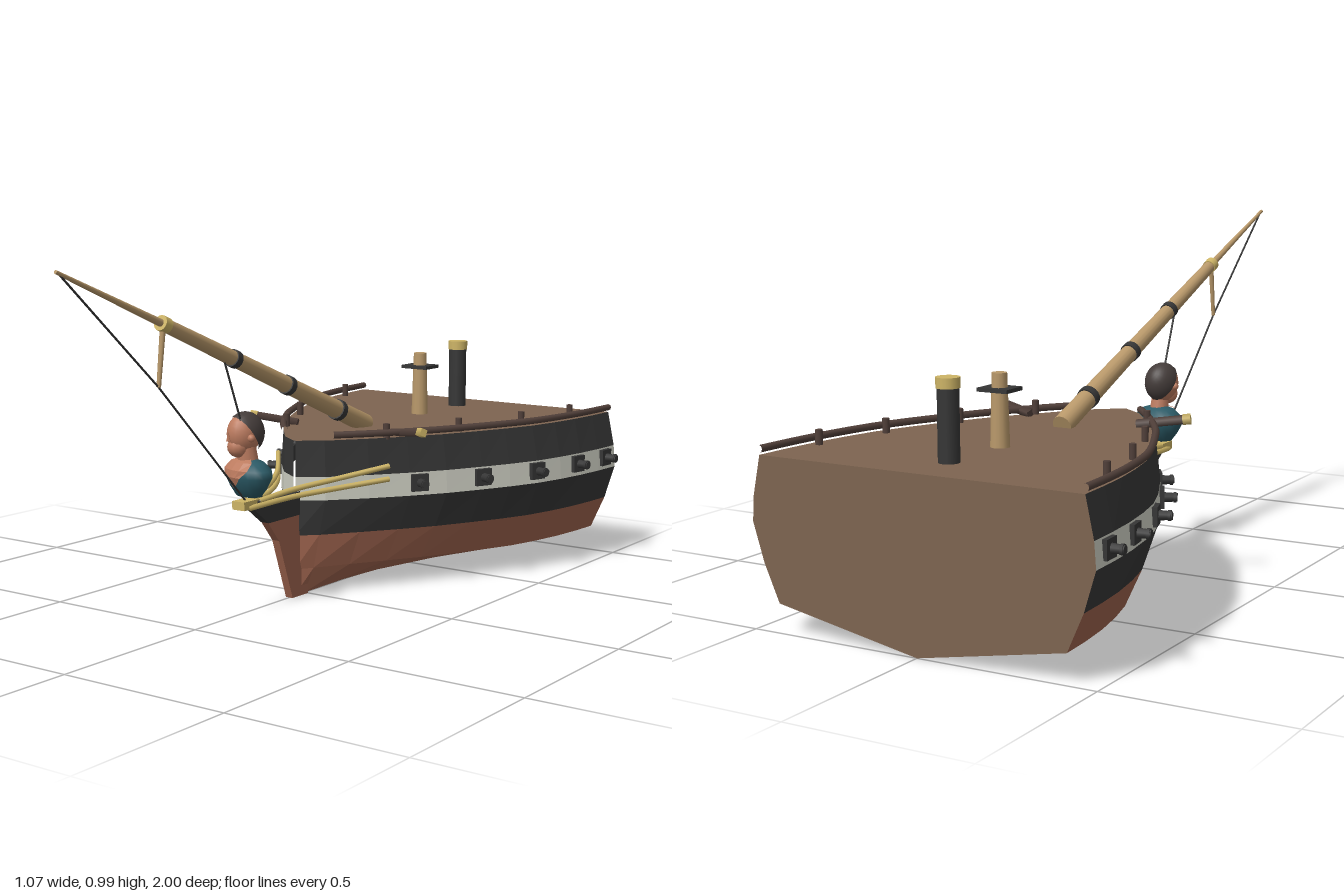
import * as THREE from 'three';

const mat = (name, color) => Object.assign(new THREE.MeshStandardMaterial({ color }), { name });
const V = (x, y, z) => new THREE.Vector3(x, y, z);

// Plan half-width of the hull, bow to stern: [z, half width]
const STATIONS = [[0.05, 0.004], [0, 0.075], [-0.1, 0.16], [-0.2, 0.235], [-0.3, 0.3], [-0.41, 0.357],
  [-0.5, 0.4], [-0.6, 0.44], [-0.7, 0.465], [-0.8, 0.483], [-0.9, 0.494], [-1, 0.5]];
// Cross-section levels: [y, width factor, bow sharpness]
const LEVELS = [[0, 0, 1], [0.078, 0.84, 1.35], [0.178, 0.93, 1.15], [0.282, 0.995, 1], [0.35, 0.985, 1], [0.455, 0.94, 1]];

function halfWidth(z) {
  const i = Math.max(1, STATIONS.findIndex(s => s[0] <= z));
  const [z0, w0] = STATIONS[i - 1], [z1, w1] = STATIONS[i];
  return w0 + (w1 - w0) * (z - z0) / (z1 - z0);
}
const hullPoint = ([y, f, p], z, side = 1) => V(side * 0.5 * f * Math.pow(2 * halfWidth(z), p), y, z);

// Faceted surface through rows of points
function grid(rows) {
  const pts = [];
  for (let i = 0; i < rows.length - 1; i++) {
    for (let j = 0; j < rows[i].length - 1; j++) {
      const a = rows[i][j], b = rows[i][j + 1], c = rows[i + 1][j + 1], d = rows[i + 1][j];
      pts.push(a, b, c, a, c, d);
    }
  }
  const g = new THREE.BufferGeometry().setFromPoints(pts);
  g.computeVertexNormals();
  return g;
}

// Upright plate on the centreline from a [z, y] outline
function plate(outline, width) {
  const shape = new THREE.Shape(outline.map(([z, y]) => new THREE.Vector2(z, y)));
  return new THREE.ExtrudeGeometry(shape, { depth: width, bevelEnabled: false })
    .rotateY(-Math.PI / 2).translate(width / 2, 0, 0);
}

// Tapered rod between two points
function rod(a, b, r0, r1 = r0, sides = 12) {
  const dir = b.clone().sub(a);
  const g = new THREE.CylinderGeometry(r1, r0, dir.length(), sides);
  g.applyQuaternion(new THREE.Quaternion().setFromUnitVectors(V(0, 1, 0), dir.normalize()));
  const mid = a.clone().add(b).multiplyScalar(0.5);
  return g.translate(mid.x, mid.y, mid.z);
}

export function createModel() {
  const black = mat('blackPaint', 0x363636), copper = mat('copper', 0xa0654f), white = mat('whiteBand', 0xcfd0c4);
  const deckWood = mat('deckWood', 0x7d6450), spar = mat('sparWood', 0xb8986a), darkWood = mat('darkWood', 0x51403a);
  const gold = mat('gold', 0xcdb466), teal = mat('tealCloth', 0x2b5a66), skin = mat('skin', 0xbd7c60);
  const hair = mat('hair', 0x443c3a);
  const model = new THREE.Group();
  const add = (name, geometry, material, parent = model) => {
    const m = new THREE.Mesh(geometry, material);
    m.name = name;
    parent.add(m);
    return m;
  };

  // Hull bands, both sides
  const zs = STATIONS.map(s => s[0]);
  const bands = [['bottom', copper], ['copperSide', copper], ['lowerWale', black], ['gunBand', white], ['upperSide', black]];
  bands.forEach(([name, m], i) => {
    for (const side of [1, -1]) {
      const rows = [LEVELS[i], LEVELS[i + 1]].map(l => {
        const row = zs.map(z => hullPoint(l, z, side));
        return side > 0 ? row : row.reverse();
      });
      add(name, grid(rows), m);
    }
  });
  const top = LEVELS[5];
  add('deck', grid([zs.map(z => hullPoint(top, z)), zs.map(z => hullPoint(top, z, -1))]), deckWood);
  add('transom', grid([LEVELS.map(l => hullPoint(l, -1, -1)), LEVELS.map(l => hullPoint(l, -1))]), deckWood);

  // Stem and knee of the head
  add('stem', plate([[0, 0], [0.075, 0], [0.14, 0.18], [0.19, 0.24], [0, 0.24]], 0.024), copper);
  add('headKnee', plate([[0, 0.24], [0.19, 0.24], [0.27, 0.3], [0.26, 0.31], [0.17, 0.3], [0.02, 0.31]], 0.028), black);
  add('billet', new THREE.BoxGeometry(0.042, 0.024, 0.06).translate(0, 0.307, 0.28), gold);

  for (const s of [1, -1]) {
    // Guns in their ports
    for (const z of [-0.225, -0.41, -0.595, -0.78, -0.935]) {
      const gun = new THREE.Group();
      gun.name = 'gun';
      gun.position.set(s * halfWidth(z) * 0.99, 0.32, z);
      const slope = (halfWidth(z - 0.03) - halfWidth(z + 0.03)) / 0.06;
      gun.rotation.y = s * (Math.PI / 2 - Math.atan(slope));
      add('portLid', new THREE.BoxGeometry(0.052, 0.05, 0.022), black, gun);
      add('barrel', rod(V(0, 0, 0), V(0, 0, 0.045), 0.014, 0.011, 10), black, gun);
      add('muzzle', rod(V(0, 0, 0.034), V(0, 0, 0.042), 0.014, 0.014, 10), black, gun);
      model.add(gun);
    }

    // Bulwark rail and its posts
    const railPts = [-0.02, ...zs.slice(2)].map(z => hullPoint(top, z, s).setY(0.47));
    add('rail', new THREE.TubeGeometry(new THREE.CatmullRomCurve3(railPts), 40, 0.01, 8), darkWood);
    for (const [x, z] of [[0.18, -0.155], [0.29, -0.375], [0.375, -0.6], [0.425, -0.82]])
      add('railPost', rod(V(s * x, 0.45, z), V(s * x, 0.495, z), 0.01, 0.01, 8), darkWood);

    // Cathead
    const inner = V(s * 0.17, 0.463, -0.2), outer = V(s * 0.3, 0.48, -0.152);
    add('cathead', rod(inner, outer, 0.013, 0.013, 4), darkWood);
    add('catheadCap', rod(outer.clone().lerp(inner, 0.08), outer.clone().lerp(inner, -0.08), 0.015, 0.015, 4), gold);

    // Head rails sweeping from the bow to the figurehead
    for (const [y0, y1, y2, zEnd] of [[0.375, 0.345, 0.312, 0.24], [0.337, 0.318, 0.298, 0.29]]) {
      const path = new THREE.CatmullRomCurve3([V(s * 0.2, y0, -0.14), V(s * 0.1, y1, 0), V(s * 0.045, (y1 + y2) / 2, 0.12), V(s * 0.018, y2, zEnd)]);
      add('headRail', new THREE.TubeGeometry(path, 20, 0.008, 6), gold);
    }
  }

  // Bowsprit and jib boom
  const on = (z, dy = 0) => V(0, 0.465 + 0.4 * (z + 0.3) + dy, z);
  add('bowsprit', rod(on(-0.31), on(0.62), 0.029, 0.018, 16), spar);
  add('jibBoom', rod(on(0.6), on(1).setY(0.983), 0.011, 0.005), spar);
  add('bowspritCap', rod(on(0.6), on(0.625), 0.021, 0.021, 16), gold);
  for (const [z, r] of [[-0.165, 0.031], [0.083, 0.028], [0.325, 0.025]])
    add('bowspritBand', rod(on(z - 0.01), on(z + 0.01), r, r, 16), black);
  const strikerTip = V(0, 0.67, 0.635);
  add('dolphinStriker', rod(on(0.615), strikerTip, 0.008, 0.006, 8), spar);
  add('martingaleStay', rod(on(0.995), strikerTip, 0.003, 0.003, 5), black);
  add('martingaleBackstay', rod(strikerTip, V(0, 0.31, 0.27), 0.003, 0.003, 5), black);
  add('bobstay', rod(on(0.375), V(0, 0.28, 0.19), 0.003, 0.003, 5), black);

  // Figurehead bust, turned slightly to its right
  const bust = new THREE.Group();
  bust.name = 'figurehead';
  bust.position.set(0, 0, 0.262);
  bust.rotation.y = -0.3;
  const profile = [[0, 0.325], [0.045, 0.33], [0.066, 0.355], [0.084, 0.385], [0.08, 0.405], [0.055, 0.425], [0.02, 0.435]];
  add('coat', new THREE.LatheGeometry(profile.map(p => new THREE.Vector2(...p)), 18).scale(1, 1, 0.66), teal, bust);
  const spread = [0.05, 0.4, 0.7, 0.95, 1.1];
  const chest = profile.slice(2).map(([r, y], i) => [-1, -0.5, 0, 0.5, 1].map(t =>
    V((r + 0.004) * Math.sin(t * spread[i]), y + 0.002, (r + 0.006) * 0.68 * Math.cos(t * spread[i]))));
  add('chest', grid(chest), skin, bust);
  add('neck', rod(V(0, 0.41, 0), V(0, 0.475, 0.008), 0.03, 0.025), skin, bust);

  const head = new THREE.Group();
  head.name = 'head';
  head.position.set(-0.008, 0.503, 0.01);
  add('face', new THREE.SphereGeometry(1, 18, 14).scale(0.042, 0.057, 0.05), skin, head);
  add('jaw', new THREE.SphereGeometry(1, 12, 10).scale(0.03, 0.03, 0.03).translate(0, -0.035, 0.02), skin, head);
  add('nose', new THREE.ConeGeometry(0.008, 0.026, 4).translate(0, -0.004, 0.052), skin, head);
  add('hairCap', new THREE.SphereGeometry(1, 18, 10, 0, Math.PI * 2, 0, 1.62).rotateX(-0.95)
    .scale(0.049, 0.06, 0.057).translate(0, 0.001, -0.004), hair, head);
  for (const s of [1, -1])
    add('ear', new THREE.SphereGeometry(0.011, 8, 6).translate(s * 0.043, -0.008, 0.006), skin, head);
  bust.add(head);
  model.add(bust);

  // Mast stump with its platform
  add('mast', rod(V(0, 0.45, -0.62), V(0, 0.648, -0.62), 0.026, 0.02, 14), spar);
  add('mastTop', new THREE.BoxGeometry(0.09, 0.01, 0.075).translate(0, 0.605, -0.62), black);

  // Funnel
  add('funnel', rod(V(0, 0.45, -0.85), V(0, 0.645, -0.85), 0.028, 0.028, 16), black);
  add('funnelCap', rod(V(0, 0.64, -0.85), V(0, 0.667, -0.85), 0.031, 0.031, 16), gold);

  return model;
}
